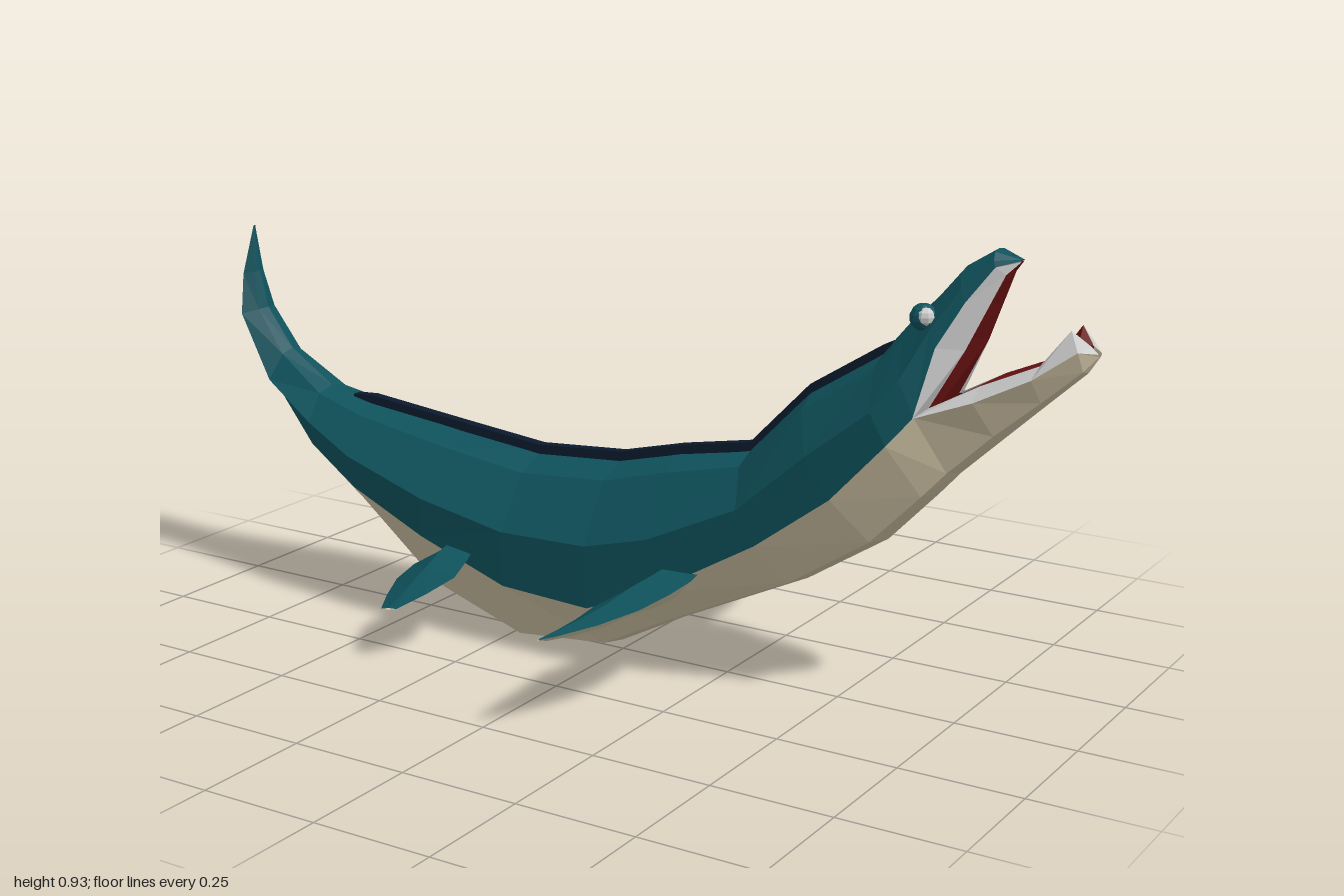
import * as THREE from 'three';

const TEAL = 0x0f525c, CREAM = 0xccc0a2, NAVY = 0x0c1a2c, RED = 0x6b1212, GREY = 0xcccccc;

const material = (color) => new THREE.MeshStandardMaterial({ color, flatShading: true, side: THREE.DoubleSide });

// Skin stretched over a series of open cross-sections
function skin(name, rings, color, flip = false) {
  const pos = [];
  for (let i = 0; i < rings.length - 1; i++) {
    for (let j = 0; j < rings[i].length - 1; j++) {
      const a = rings[i][j], b = rings[i + 1][j], c = rings[i + 1][j + 1], d = rings[i][j + 1];
      const quad = flip ? [a, c, b, a, d, c] : [a, b, c, a, c, d];
      quad.forEach((p) => pos.push(...p));
    }
  }
  const geo = new THREE.BufferGeometry();
  geo.setAttribute('position', new THREE.Float32BufferAttribute(pos, 3));
  geo.computeVertexNormals();
  const mesh = new THREE.Mesh(geo, material(color));
  mesh.name = name;
  return mesh;
}

const mirrorZ = (p) => [p[0], p[1], -p[2]];
// Half section ending on the centre line, completed by its mirror image
const full = (half) => [...half, ...half.slice(0, -1).reverse().map(mirrorZ)];
// Point a fraction f of the way from p to q, at depth z
const mix = (p, q, f, z) => [p[0] + (q[0] - p[0]) * f, p[1] + (q[1] - p[1]) * f, z];

// Body stations: top x, y, bottom x, y, half width, colour seam fraction, ridge fraction
const BODY = [
  [-0.965, 0.80, -0.967, 0.80, 0.003, 1, 0.5],
  [-0.955, 0.70, -1.0, 0.69, 0.03, 1, 0.5],
  [-0.935, 0.62, -1.0, 0.60, 0.052, 1, 0.5],
  [-0.87, 0.535, -0.90, 0.42, 0.062, 1, 0.55],
  [-0.76, 0.465, -0.75, 0.335, 0.09, 0.88, 0.5],
  [-0.64, 0.445, -0.60, 0.21, 0.122, 0.70, 0.4],
  [-0.40, 0.42, -0.43, 0.075, 0.145, 0.61, 0.36],
  [-0.20, 0.40, -0.21, 0.0, 0.15, 0.65, 0.35],
  [0.0, 0.415, 0.0, 0.02, 0.15, 0.72, 0.38],
  [0.14, 0.45, 0.15, 0.10, 0.148, 0.74, 0.42],
  [0.30, 0.48, 0.43, 0.235, 0.144, 0.62, 0.34],
  [0.43, 0.615, 0.60, 0.345, 0.142, 0.63, 0.34],
  [0.58, 0.71, 0.70, 0.45, 0.138, 0.56, 0.32],
  [0.63, 0.77, 0.745, 0.50, 0.118, 0.55, 0.3],
];
// Upper jaw: top x, y, lip x, y, half width, inner lip x, y
const UPPER = [
  [0.69, 0.83, 0.72, 0.75, 0.086, 0.765, 0.745],
  [0.74, 0.89, 0.765, 0.835, 0.062, 0.795, 0.815],
  [0.80, 0.928, 0.81, 0.90, 0.038, 0.825, 0.885],
  [0.845, 0.912, 0.846, 0.91, 0.008, 0.846, 0.908],
];
// Lower jaw: rim x, y, bottom x, y, half width, inner crest x, y
const LOWER = [
  [0.80, 0.66, 0.83, 0.58, 0.094, 0.80, 0.685],
  [0.90, 0.71, 0.91, 0.655, 0.07, 0.905, 0.732],
  [0.975, 0.765, 0.98, 0.72, 0.045, 0.955, 0.80],
  [1.0, 0.758, 1.0, 0.752, 0.008, 0.985, 0.77],
];
const CORNER = [0.692, 0.62], CORNER_W = 0.112;

function buildBody(group) {
  const back = [], belly = [];
  for (const [tx, ty, bx, by, w, seam, ridge] of BODY) {
    const t = [tx, ty], b = [bx, by];
    const edge = mix(t, b, seam, seam === 1 ? 0 : w * 0.93);
    back.push(full([edge, mix(t, b, ridge, w), mix(t, b, 0.08, w * 0.5), mix(t, b, 0, 0)]));
    belly.push(full([edge, mix(t, b, 0.96, seam === 1 ? 0 : w * 0.5), mix(t, b, 1, 0)]));
  }
  for (const [tx, ty, lx, ly, w] of UPPER) {
    const t = [tx, ty], l = [lx, ly];
    back.push(full([mix(t, l, 1, w), mix(t, l, 0.6, w), mix(t, l, 0.12, w * 0.55), mix(t, l, 0, 0)]));
  }
  for (const [rx, ry, bx, by, w] of LOWER) {
    const r = [rx, ry], b = [bx, by];
    belly.push(full([mix(r, b, 0, w), mix(r, b, 0.85, w * 0.55), mix(r, b, 1, 0)]));
  }
  group.add(skin('back', back, TEAL), skin('belly', belly.slice(3), CREAM, true));

  // Raised dark stripe along the spine
  const line = [[-0.69, 0.452], ...BODY.slice(5, 13).map((s) => [s[0], s[1]]), [0.60, 0.73]];
  const stripe = line.map(([x, y], i) => {
    const rise = i === 0 || i === line.length - 1 ? 0.004 : 0.014;
    return full([[x, y - 0.02, 0.014], [x, y + rise, 0.011], [x, y + rise, 0]]);
  });
  group.add(skin('spineStripe', stripe, NAVY));
}

// Pale lips and red lining of one jaw; dip pushes the lining into the jaw
function buildMouth(group, name, jaw, dip, upper) {
  const lips = [[[...CORNER, CORNER_W], [CORNER[0] + 0.012, CORNER[1] + 0.012, CORNER_W * 0.6]]];
  const lining = [full([[...CORNER, CORNER_W], [...CORNER, 0]])];
  for (const s of jaw) {
    const [ox, oy] = upper ? [s[2], s[3]] : [s[0], s[1]];
    const w = s[4], inner = [s[5], s[6], w * 0.62];
    lips.push([[ox, oy, w], inner]);
    const low = [s[5] + dip[0], s[6] + dip[1], w * 0.5];
    lining.push(full([inner, [low[0], low[1], 0]]));
  }
  for (const side of [1, -1]) {
    const rings = side > 0 ? lips : lips.map((r) => r.map(mirrorZ));
    group.add(skin(name + 'Lip', rings, GREY, upper === (side > 0)));
  }
  group.add(skin(name + 'Lining', lining, RED, upper));
}

// Flipper sections: z, trailing x, y, leading x, y, half thickness
function buildFlipper(group, name, sections) {
  for (const side of [1, -1]) {
    const surface = (sign) => sections.map(([z, x0, y0, x1, y1, h]) => [
      [x0, y0, z * side],
      [x0 * 0.5 + x1 * 0.5, (y0 + y1) / 2 + sign * h, z * side],
      [x1, y1, z * side],
    ]);
    const flipper = new THREE.Group();
    flipper.name = name;
    flipper.add(skin(name + 'Top', surface(1), TEAL, side < 0));
    flipper.add(skin(name + 'Underside', surface(-1), CREAM, side > 0));
    group.add(flipper);
  }
}

function buildEyes(group) {
  for (const side of [1, -1]) {
    const lid = new THREE.Mesh(new THREE.SphereGeometry(0.026, 10, 7), material(TEAL));
    lid.name = 'eyelid';
    lid.position.set(0.685, 0.80, 0.064 * side);
    const eye = new THREE.Mesh(new THREE.SphereGeometry(0.018, 8, 6), material(GREY));
    eye.name = 'eye';
    eye.position.set(0.693, 0.803, 0.073 * side);
    group.add(lid, eye);
  }
}

export function createModel() {
  const model = new THREE.Group();
  model.name = 'seaReptile';
  buildBody(model);
  buildMouth(model, 'upperJaw', UPPER, [-0.02, 0.012], true);
  buildMouth(model, 'lowerJaw', LOWER, [0.005, -0.025], false);
  buildEyes(model);
  buildFlipper(model, 'frontFlipper', [
    [0.10, 0.11, 0.17, 0.25, 0.25, 0.04],
    [0.17, 0.095, 0.175, 0.262, 0.245, 0.035],
    [0.25, 0.09, 0.185, 0.26, 0.24, 0.028],
    [0.33, 0.10, 0.185, 0.242, 0.23, 0.022],
    [0.41, 0.11, 0.19, 0.203, 0.218, 0.014],
    [0.48, 0.12, 0.197, 0.155, 0.208, 0.006],
    [0.502, 0.128, 0.203, 0.135, 0.205, 0.001],
  ]);
  buildFlipper(model, 'hindFlipper', [
    [0.10, -0.40, 0.17, -0.30, 0.205, 0.025],
    [0.16, -0.42, 0.155, -0.28, 0.19, 0.025],
    [0.22, -0.42, 0.14, -0.27, 0.17, 0.022],
    [0.28, -0.40, 0.125, -0.30, 0.145, 0.012],
    [0.325, -0.38, 0.113, -0.34, 0.12, 0.002],
  ]);
  return model;
}
